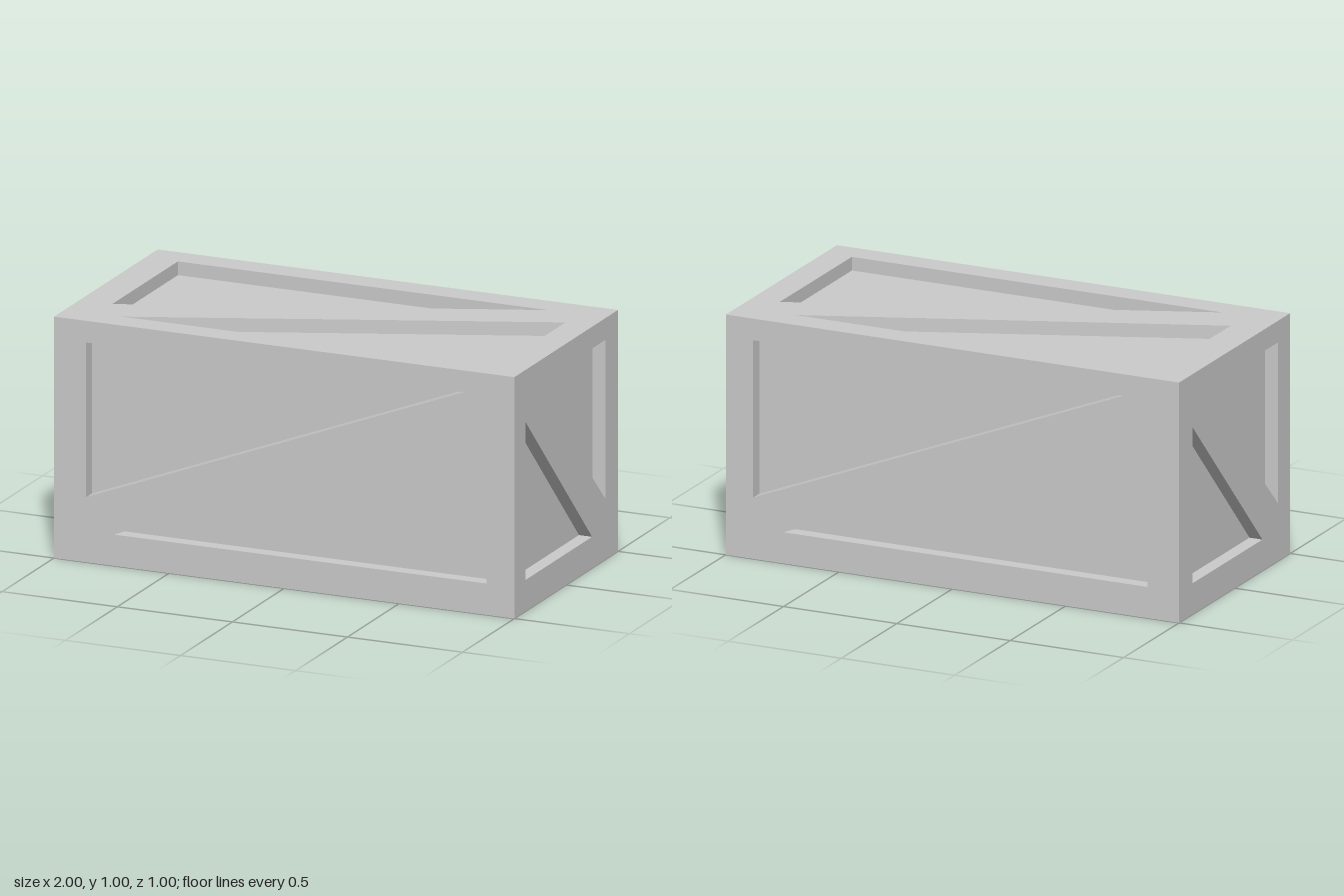
import * as THREE from 'three';

const DEPTH = 0.057; // how far the triangular panels are sunk
const HALF_PI = Math.PI / 2;

// Each face: size, placement, and two right triangles [cornerU, cornerV, tipU, tipV],
// where the legs run from the corner along u to tipU and along v to tipV.
const FACES = [
  { name: 'front', w: 2, h: 1, out: 0.5, rot: [0, 0], tris: [[-0.86, 0.41, 0.78, -0.23], [0.88, -0.37, -0.74, 0.28]] },
  { name: 'back', w: 2, h: 1, out: 0.5, rot: [0, Math.PI], tris: [[-0.88, 0.41, 0.755, -0.245], [0.86, -0.37, -0.745, 0.26]] },
  { name: 'left', w: 1, h: 1, out: 1, rot: [0, HALF_PI], tris: [[0.38, 0.41, -0.295, -0.25], [-0.393, -0.37, 0.25, 0.285]] },
  { name: 'right', w: 1, h: 1, out: 1, rot: [0, -HALF_PI], tris: [[0.39, 0.41, -0.285, -0.26], [-0.38, -0.37, 0.25, 0.28]] },
  { name: 'top', w: 2, h: 1, out: 0.5, rot: [-HALF_PI, 0], tris: [[-0.86, 0.385, 0.75, -0.25], [0.88, -0.39, -0.755, 0.26]] },
  { name: 'bottom', w: 2, h: 1, out: 0.5, rot: [HALF_PI, 0], tris: [[0.875, 0.39, -0.74, -0.255], [-0.86, -0.38, 0.75, 0.245]] },
];

// Corner points of a right triangle, always counter-clockwise
function trianglePoints([cu, cv, tu, tv]) {
  const pts = [new THREE.Vector2(cu, cv), new THREE.Vector2(tu, cv), new THREE.Vector2(cu, tv)];
  return THREE.ShapeUtils.isClockWise(pts) ? pts.reverse() : pts;
}

// Inward-facing side walls of a recess
function wallGeometry(pts) {
  const pos = [];
  pts.forEach((a, i) => {
    const b = pts[(i + 1) % pts.length];
    pos.push(a.x, a.y, 0, b.x, b.y, 0, b.x, b.y, -DEPTH);
    pos.push(a.x, a.y, 0, b.x, b.y, -DEPTH, a.x, a.y, -DEPTH);
  });
  const geo = new THREE.BufferGeometry();
  geo.setAttribute('position', new THREE.Float32BufferAttribute(pos, 3));
  geo.computeVertexNormals();
  return geo;
}

export function createModel() {
  const crate = new THREE.Group();
  crate.name = 'crate';
  const material = new THREE.MeshStandardMaterial({ color: 0xcccccc, flatShading: true });

  const add = (parent, geometry, name) => {
    const mesh = new THREE.Mesh(geometry, material);
    mesh.name = name;
    parent.add(mesh);
    return mesh;
  };

  for (const { name, w, h, out, rot, tris } of FACES) {
    const side = new THREE.Group();
    side.name = `${name}Side`;

    // Flat frame with its diagonal brace
    const frame = new THREE.Shape([
      new THREE.Vector2(-w / 2, -h / 2), new THREE.Vector2(w / 2, -h / 2),
      new THREE.Vector2(w / 2, h / 2), new THREE.Vector2(-w / 2, h / 2),
    ]);
    const outlines = tris.map(trianglePoints);
    frame.holes = outlines.map((pts) => new THREE.Path([...pts].reverse()));
    add(side, new THREE.ShapeGeometry(frame), `${name}Frame`);

    // Sunken triangular panels
    for (const pts of outlines) {
      add(side, wallGeometry(pts), `${name}RecessWalls`);
      add(side, new THREE.ShapeGeometry(new THREE.Shape(pts)), `${name}RecessPanel`).position.z = -DEPTH;
    }

    // Turn the side outwards and push it to the surface of the crate
    side.rotation.set(rot[0], rot[1], 0);
    side.position.set(0, 0.5, 0);
    side.translateZ(out);
    crate.add(side);
  }
  return crate;
}
